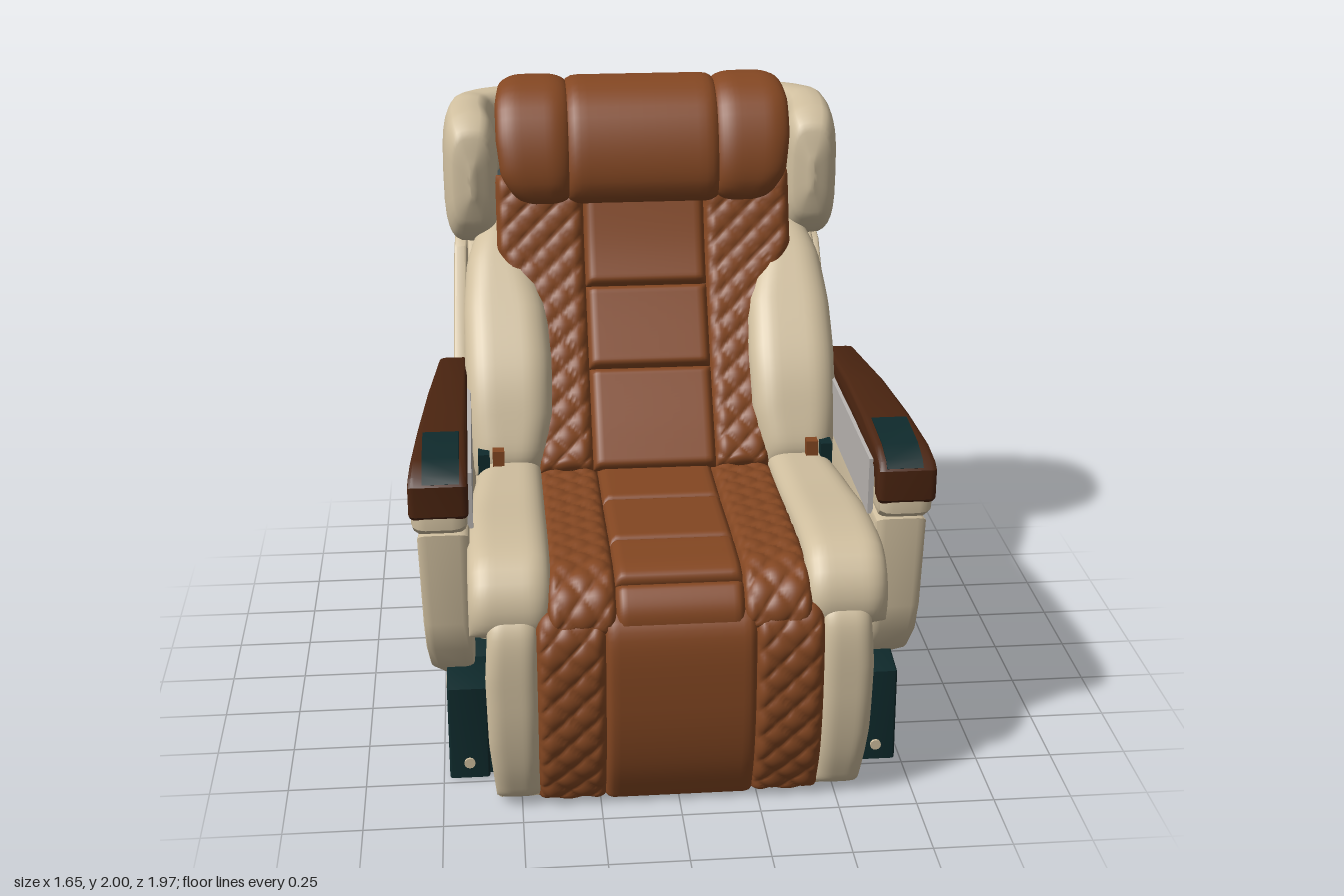
import * as THREE from 'three';
import { toCreasedNormals } from 'three/addons/utils/BufferGeometryUtils.js';

const mat = (name, color) => {
  const m = new THREE.MeshStandardMaterial({ color, side: THREE.DoubleSide });
  m.name = name;
  return m;
};

export function createModel() {
  const root = new THREE.Group();
  root.name = 'reclinerSeat';
  const cream = mat('creamLeather', 0xd0bf9f);
  const tan = mat('tanLeather', 0x844722);
  const wood = mat('darkWood', 0x4a2410);
  const teal = mat('darkTealPlastic', 0x0f2a2c);
  const grey = mat('lightGreyTrim', 0xbab6b2);
  const under = mat('undersidePlate', 0x4a423d);

  const add = (name, geo, m) => {
    const mesh = new THREE.Mesh(geo, m);
    mesh.name = name;
    root.add(mesh);
    return mesh;
  };
  const box = (name, m, x0, x1, y0, y1, z0, z1) => {
    const b = add(name, new THREE.BoxGeometry(Math.abs(x1 - x0), y1 - y0, z1 - z0), m);
    b.position.set((x0 + x1) / 2, (y0 + y1) / 2, (z0 + z1) / 2);
  };

  // Side outline of [z, y] points, extruded across x; inner and outer may depend on (z, y)
  const slab = (name, m, pts, inner, outer, bevel = 0.015, s = 1) => {
    const val = (f, z, y) => (typeof f === 'function' ? f(z, y) : f);
    const shape = new THREE.Shape(pts.map(p => new THREE.Vector2(p[0], p[1])));
    const w = Math.abs(val(outer, 0, 0.8) - val(inner, 0, 0.8));
    const bt = Math.min(bevel / w, 0.4);
    const g = new THREE.ExtrudeGeometry(shape, {
      depth: 1 - 2 * bt, bevelEnabled: bevel > 0, bevelThickness: bt,
      bevelSize: bevel, bevelOffset: -bevel, bevelSegments: 3
    });
    g.translate(0, 0, bt);
    g.rotateY(-Math.PI / 2);
    g.translate(1, 0, 0);
    const p = g.attributes.position;
    for (let i = 0; i < p.count; i++) {
      const z = p.getZ(i), y = p.getY(i);
      p.setX(i, THREE.MathUtils.lerp(val(inner, z, y), val(outer, z, y), p.getX(i)) * s);
    }
    if (s < 0) { // restore the corner order after mirroring
      for (let i = 0; i < p.count; i += 3) {
        const a = new THREE.Vector3().fromBufferAttribute(p, i);
        const b = new THREE.Vector3().fromBufferAttribute(p, i + 1);
        p.setXYZ(i, b.x, b.y, b.z);
        p.setXYZ(i + 1, a.x, a.y, a.z);
      }
    }
    return add(name, toCreasedNormals(g, 0.6), m);
  };

  // Upholstered pad following a side path, with rounded edges and optional diamond quilting
  const sample = (a, t) => {
    if (!Array.isArray(a)) return a;
    const f = Math.min(t, 0.9999) * (a.length - 1), i = Math.floor(f);
    return THREE.MathUtils.lerp(a[i], a[i + 1], f - i);
  };
  const pad = (name, m, path, x0, x1, h, o = {}) => {
    const { s = 1, t0 = 0, t1 = 1, r = 0.04, quilt = false } = o;
    const curve = new THREE.CatmullRomCurve3(path.map(p => new THREE.Vector3(0, p[1], p[0])));
    const len = curve.getLength(), nu = quilt ? 28 : 20, nv = quilt ? 110 : 36;
    const round = d => Math.sqrt(Math.max(0, 1 - (1 - Math.min(d / r, 1)) ** 2));
    const pos = [], idx = [];
    for (let j = 0; j <= nv; j++) {
      const v = 0.5 - 0.5 * Math.cos(Math.PI * j / nv), t = THREE.MathUtils.lerp(t0, t1, v);
      const c = curve.getPointAt(t), tg = curve.getTangentAt(t);
      const [a, b] = [s * sample(x0, t), s * sample(x1, t)].sort((p, q) => p - q);
      const dv = Math.min(v, 1 - v) * (t1 - t0) * len;
      for (let i = 0; i <= nu; i++) {
        const u = quilt ? i / nu : 0.5 - 0.5 * Math.cos(Math.PI * i / nu);
        const x = a + (b - a) * u, e = round(Math.min(u, 1 - u) * (b - a)) * round(dv);
        let k = h * e;
        if (quilt) {
          const A = (Math.abs(x) + t * len) / 0.1, B = (Math.abs(x) - t * len) / 0.1;
          k += e * 0.014 * (Math.sqrt(Math.abs(Math.sin(Math.PI * A) * Math.sin(Math.PI * B))) - 0.7);
        }
        pos.push(x, c.y + tg.z * k, c.z - tg.y * k);
        if (i < nu && j < nv) {
          const q = j * (nu + 1) + i, n = q + nu + 1;
          idx.push(q, n, q + 1, q + 1, n, n + 1);
        }
      }
    }
    const g = new THREE.BufferGeometry();
    g.setAttribute('position', new THREE.Float32BufferAttribute(pos, 3));
    g.setIndex(idx);
    g.computeVertexNormals();
    add(name, g, m);
  };
  const panels = (name, path, w, h, cuts) => {
    for (let i = 0; i + 1 < cuts.length; i++)
      pad(name, tan, path, -w, w, h, { t0: cuts[i], t1: cuts[i + 1], r: 0.025 });
  };

  // Side paths, from the top or back towards the front
  const seatPath = [[-0.1, 0.73], [0.3, 0.74], [0.7, 0.76], [0.84, 0.75], [0.91, 0.69], [0.92, 0.62]];
  const seatSide = [[-0.08, 0.76], [0.3, 0.78], [0.68, 0.81], [0.82, 0.79], [0.88, 0.71], [0.87, 0.6]];
  const backPath = [[-0.53, 1.68], [-0.42, 1.4], [-0.24, 1.1], [-0.07, 0.86], [0, 0.76]];
  const backSide = [[-0.64, 1.46], [-0.48, 1.38], [-0.16, 1.08], [-0.07, 0.9], [-0.02, 0.75]];
  const legPath = [[0.87, 0.67], [0.93, 0.64], [0.955, 0.4], [0.93, 0.18], [0.87, 0.02]];
  const legSide = [[0.85, 0.68], [0.91, 0.64], [0.935, 0.4], [0.915, 0.18], [0.87, 0.03]];
  const headPath = [[-0.81, 1.8], [-0.77, 1.93], [-0.64, 1.965], [-0.52, 1.91], [-0.445, 1.77], [-0.44, 1.65], [-0.5, 1.6]];

  // Inner bodies
  slab('seatCore', cream, [[-0.3, 0.5], [-0.3, 0.72], [0.8, 0.75], [0.88, 0.69], [0.87, 0.59], [0.7, 0.55]], -0.62, 0.62);
  slab('backCore', tan, [...backPath, [-0.3, 0.76], [-0.78, 1.68]], -0.49, 0.49);
  slab('backFrame', teal, [[-0.2, 0.7], [-0.62, 1.3], [-0.75, 1.43], [-0.83, 1.68], [-0.93, 1.68], [-0.93, 1.4], [-0.6, 0.4]], -0.61, 0.61);
  slab('headrestCore', tan, [...headPath, [-0.78, 1.62]], -0.46, 0.46, 0.03);
  slab('legRestCore', cream, [[0.84, 0.67], [0.9, 0.65], [0.935, 0.4], [0.91, 0.18], [0.87, 0.02], [0.82, 0.03], [0.82, 0.55]], -0.58, 0.58);

  // Centre panels with cross seams
  panels('seatCentre', seatPath, 0.2, 0.04, [0, 0.33, 0.65, 0.87, 1]);
  panels('backCentre', backPath, 0.215, 0.045, [0, 0.38, 0.66, 1]);
  panels('legRestCentre', legPath, 0.235, 0.035, [0, 1]);
  pad('headrestCentre', tan, headPath, -0.27, 0.27, 0.035, { r: 0.05 });

  // Outer shell and armrest widths
  const shellOut = (z, y) => 0.735 + 0.0985 * z - 0.03 * (0.87 - y);
  const shellIn = (z, y) => Math.min(0.64, shellOut(z, y) - 0.05);
  const armOut = z => 0.757 + 0.09 * z;

  for (const s of [1, -1]) {
    // Quilted panels and cream bolsters
    pad('seatQuilt', tan, seatPath, 0.195, 0.41, 0.042, { s, quilt: true });
    pad('backQuilt', tan, backPath, 0.21, [0.52, 0.52, 0.42, 0.4, 0.4], 0.045, { s, quilt: true });
    pad('legRestQuilt', tan, legPath, 0.23, 0.445, 0.035, { s, quilt: true });
    pad('seatBolster', cream, seatSide, 0.395, [0.6, 0.63, 0.65, 0.65, 0.65], 0.05, { s, r: 0.07 });
    pad('backBolster', cream, backSide, [0.46, 0.4, 0.355, 0.345, 0.35, 0.39], [0.58, 0.63, 0.645, 0.645, 0.64, 0.62], 0.075, { s, r: 0.09 });
    pad('legRestSide', cream, legSide, 0.44, [0.59, 0.605, 0.6, 0.58], 0.035, { s, r: 0.05 });
    pad('headrestWing', tan, headPath, 0.255, [0.42, 0.47, 0.5, 0.515, 0.515, 0.5, 0.42], 0.04, { s, r: 0.08 });
    slab('bolsterCore', cream, [[-0.03, 0.76], [-0.17, 1.08], [-0.48, 1.38], [-0.62, 1.45], [-0.67, 1.42], [-0.33, 0.88], [-0.2, 0.7]], 0.42, 0.625, 0.015, s);

    // Side shell with its pocket
    slab('sideShell', cream, [[0.71, 0.87], [0.71, 0.56], [0.69, 0.46], [0.62, 0.36], [0.27, 0.14], [0.22, 0.13], [0, 0.13],
      [-0.04, 0.16], [-0.13, 0.29], [-0.18, 0.31], [-0.62, 0.35], [-0.92, 1.27], [-0.92, 1.42], [-0.8, 1.4], [-0.73, 1.36], [-0.44, 0.93], [-0.36, 0.87]], shellIn, shellOut, 0.018, s);
    slab('sidePocket', teal, [[0.5, 0.79], [0.28, 0.79], [0.24, 0.765], [0.225, 0.7], [0.24, 0.63], [0.28, 0.6], [0.5, 0.61]],
      (z, y) => shellOut(z, y) - 0.003, (z, y) => shellOut(z, y) + 0.004, 0, s);

    // Armrest: cream body, wood cap, control plate and inner trim
    slab('armrestBody', cream, [[0.715, 0.89], [0.715, 0.97], [0.69, 1.03], [-0.33, 1.04], [-0.36, 0.98], [-0.35, 0.91], [-0.3, 0.87], [0.68, 0.86]], 0.645, armOut, 0.03, s);
    slab('armrestWood', wood, [[0.725, 0.94], [0.725, 1.04], [0.7, 1.065], [0.62, 1.09], [0.4, 1.108], [0.1, 1.112], [-0.28, 1.09], [-0.34, 1.07],
      [-0.345, 1.02], [0.3, 1.03], [0.62, 1.01], [0.66, 0.93], [0.71, 0.925]], 0.64, z => armOut(z) + 0.004, 0.014, s);
    slab('armrestControls', teal, [[0.44, 1.108], [0.62, 1.094], [0.7, 1.07], [0.722, 1.048], [0.715, 1.044], [0.69, 1.06], [0.62, 1.085], [0.44, 1.1]], 0.665, 0.78, 0, s);
    box('armrestInnerTrim', grey, s * 0.628, s * 0.645, 0.85, 1.04, -0.28, 0.62);
    box('beltBuckle', tan, s * 0.52, s * 0.56, 0.8, 0.87, 0.0, 0.06);
    box('buckleBase', teal, s * 0.57, s * 0.61, 0.78, 0.86, 0.0, 0.06);

    // Base rails and their fixings
    slab('baseRail', teal, [[0.72, 0.02], [0.72, 0.1], [0.4, 0.2], [0, 0.28], [-0.5, 0.32], [-0.53, 0.13], [-0.57, 0.11], [-0.57, 0.01]], 0.5, 0.69, 0.008, s);
    slab('baseFrontBracket', teal, [[0.73, 0.01], [0.72, 0.33], [0.6, 0.35], [0.45, 0.3], [0.4, 0.02]], 0.6, 0.73, 0.008, s);
    box('baseRearLug', teal, s * 0.6, s * 0.73, 0.12, 0.3, -0.52, -0.36);
    box('baseFoot', teal, s * 0.6, s * 0.71, 0.01, 0.115, -0.57, 0.4);
    for (const [x, y, z] of [[0.586, 0.16, 0.76], [0.732, 0.24, 0.5], [0.732, 0.25, -0.45]]) {
      const b = add('fixingBolt', new THREE.CylinderGeometry(0.022, 0.022, 0.008, 12), cream);
      b.rotation.z = Math.PI / 2;
      b.position.set(s * x, y, z);
    }
    const f = add('frontBolt', new THREE.CylinderGeometry(0.018, 0.018, 0.008, 12), cream);
    f.rotation.x = Math.PI / 2;
    f.position.set(s * 0.665, 0.065, 0.732);
  }

  // Back panel, base body and underside
  slab('backPanel', cream, [[-0.62, 0.35], [-0.92, 1.27], [-0.92, 1.42], [-0.84, 1.42], [-0.84, 1.27], [-0.52, 0.35]], -0.645, 0.645, 0.012);
  slab('baseBody', teal, [[0.83, 0.03], [0.83, 0.56], [0.66, 0.6], [-0.3, 0.5], [-0.52, 0.33], [-0.53, 0.13], [-0.57, 0.11], [-0.57, 0.02]], -0.58, 0.58, 0.008);
  box('undersidePlate', under, -0.48, 0.48, 0.012, 0.05, -0.36, 0.84);
  box('undersideRidge', under, -0.2, 0.2, 0.005, 0.03, 0.0, 0.3);

  // Wrap-around head shell: rounded sections along a curve seen from above
  const keys = [[0.6, -0.462, 0.008, 1.62, 1.72], [0.602, -0.49, 0.07, 1.51, 1.84], [0.605, -0.57, 0.095, 1.43, 1.9], [0.61, -0.69, 0.09, 1.43, 1.92],
    [0.575, -0.8, 0.08, 1.58, 1.92], [0.45, -0.87, 0.065, 1.65, 1.92], [0.24, -0.912, 0.055, 1.65, 1.92], [0, -0.922, 0.055, 1.65, 1.92]];
  const full = [...keys, ...keys.slice(0, -1).reverse().map(([x, ...k]) => [-x, ...k])];
  const plan = new THREE.CatmullRomCurve3(full.map(k => new THREE.Vector3(k[0], 0, k[1])));
  const size = new THREE.CatmullRomCurve3(full.map(k => new THREE.Vector3(k[2], k[3], k[4])));
  const n = 84, m = 28, pos = [], idx = [];
  for (let j = 0; j <= n; j++) {
    const c = plan.getPoint(j / n), t = plan.getTangent(j / n), d = size.getPoint(j / n);
    for (let i = 0; i < m; i++) {
      const a = i / m * Math.PI * 2, pw = v => Math.sign(v) * Math.abs(v) ** 0.6;
      const w = Math.max(d.x, 0.004) * pw(Math.cos(a)), y = (d.y + d.z) / 2 + (d.z - d.y) / 2 * pw(Math.sin(a));
      pos.push(c.x - t.z * w, y, c.z + t.x * w);
      if (j < n) {
        const p = j * m + i, q = j * m + (i + 1) % m;
        idx.push(p, q, p + m, q, q + m, p + m);
      }
    }
  }
  for (let i = 1; i < m - 1; i++) idx.push(0, i + 1, i, n * m, n * m + i, n * m + i + 1);
  const wing = new THREE.BufferGeometry();
  wing.setAttribute('position', new THREE.Float32BufferAttribute(pos, 3));
  wing.setIndex(idx);
  wing.computeVertexNormals();
  add('headShell', wing, cream);

  return root;
}
